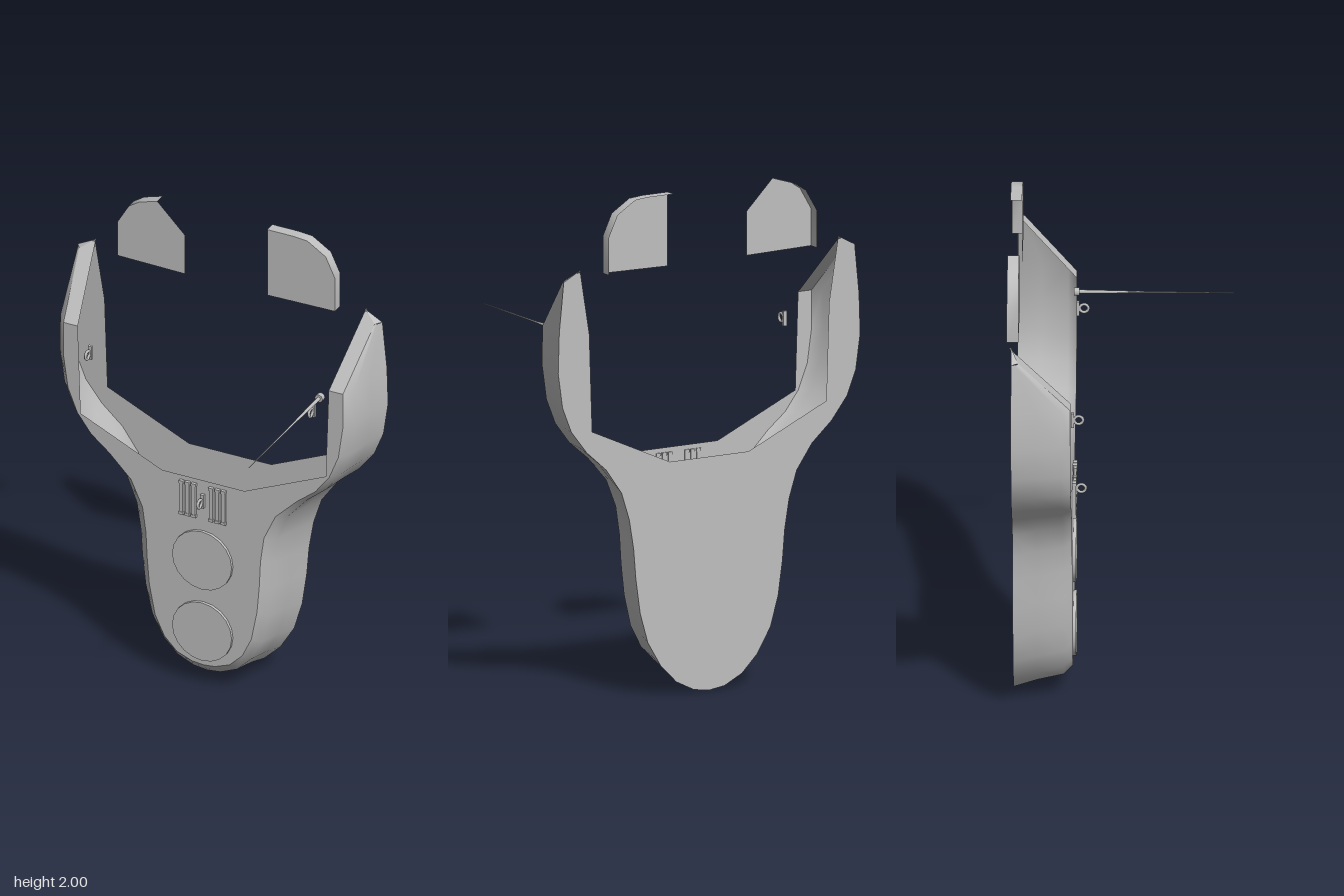
import * as THREE from 'three';

const FRONT = -0.18, BACK = -0.41, SLOPE_Y = 1.48;
const grey = new THREE.MeshStandardMaterial({ color: 0xbfbfbf, side: THREE.DoubleSide });
grey.name = 'grey';

// Half outline, bottom to arm tip: back x, back y, front x, front y
const HALF = [
  [0, 0, 0, 0.1], [0.07, 0.01, 0.05, 0.105], [0.15, 0.05, 0.115, 0.13], [0.22, 0.12, 0.17, 0.185],
  [0.28, 0.22, 0.21, 0.27], [0.315, 0.34, 0.235, 0.4], [0.335, 0.48, 0.245, 0.52],
  [0.345, 0.6, 0.25, 0.63], [0.365, 0.72, 0.265, 0.74], [0.4, 0.83, 0.315, 0.85],
  [0.47, 0.93, 0.41, 0.945], [0.56, 1.01, 0.49, 1.01], [0.63, 1.1, 0.55, 1.09],
  [0.67, 1.2, 0.59, 1.19], [0.69, 1.34, 0.61, 1.33], [0.685, 1.5, 0.61, 1.48], [0.665, 1.7, 0.645, 1.7],
];
const frontZ = (y) => (y > SLOPE_Y ? FRONT - (y - SLOPE_Y) * 0.92 : FRONT);
const mirror = (pts) => pts.slice().reverse().map(([x, y]) => [-x, y]);

function mesh(name, geometry, x = 0, y = 0, z = 0) {
  const m = new THREE.Mesh(geometry, grey);
  m.name = name;
  m.position.set(x, y, z);
  return m;
}

// Surface through equal rows of points
function loft(rows) {
  const n = rows[0].length, index = [];
  for (let r = 0; r < rows.length - 1; r++)
    for (let i = 0; i < n - 1; i++) {
      const a = r * n + i, b = a + n;
      index.push(a, b, a + 1, a + 1, b, b + 1);
    }
  const g = new THREE.BufferGeometry();
  g.setAttribute('position', new THREE.Float32BufferAttribute(rows.flat(2), 3));
  g.setIndex(index);
  g.computeVertexNormals();
  return g;
}

const plate = (pts) => new THREE.ShapeGeometry(new THREE.Shape(pts.map((p) => new THREE.Vector2(...p))));

function addShell(group) {
  // Curved outer wall with a soft shoulder near the front
  const full = [...HALF.slice(1).reverse().map(([a, b, c, d]) => [-a, b, -c, d]), ...HALF];
  const rows = [[0, 0], [0.15, 0.42], [0.6, 0.68], [1, 1]].map(([s, t]) =>
    full.map(([bx, by, fx, fy]) => [
      fx + (bx - fx) * t, fy + (by - fy) * t, frontZ(fy) + (BACK - frontZ(fy)) * s,
    ]));
  group.add(mesh('outerWall', loft(rows)));

  // Front and back plates share the open inner edge
  const inner = [[0.59, 1.74], [0.548, 1.48], [0.535, 1.09], [0.18, 0.93]];
  const back = [...HALF.map((p) => [p[0], p[1]]), ...inner];
  const front = [...HALF.slice(0, -1).map((p) => [p[2], p[3]]), ...inner.slice(1)];
  group.add(mesh('backPlate', plate([...back, ...mirror(back.slice(1))]), 0, 0, BACK));
  group.add(mesh('frontPlate', plate([...front, ...mirror(front.slice(1))]), 0, 0, FRONT));

  // Sloped arm ends and their small tip caps
  for (const s of [-1, 1]) {
    const p = (x, y, z = frontZ(y)) => [s * x, y, z];
    group.add(mesh('armSlope', loft([[p(0.548, 1.48), p(0.61, 1.48)], [p(0.59, 1.74), p(0.645, 1.7)]])));
    group.add(mesh('armTip', loft([[p(0.59, 1.74), p(0.645, 1.7)], [p(0.59, 1.74, BACK), p(0.665, 1.7, BACK)]])));
  }
}

// Small ring on a foot
function hook(x, y) {
  const g = new THREE.Group();
  g.name = 'hook';
  const ring = mesh('hookRing', new THREE.TorusGeometry(0.017, 0.006, 6, 14), x, y, -0.15);
  ring.rotation.y = Math.PI / 2;
  g.add(ring, mesh('hookFoot', new THREE.BoxGeometry(0.015, 0.06, 0.012), x, y, -0.174));
  return g;
}

// Thin face with a rim running backwards along its outer edge
function flap(name, pts, rimCount) {
  const g = new THREE.Group();
  g.name = name;
  const rim = pts.slice(0, rimCount);
  g.add(mesh('flapFace', plate(pts), 0, 0, -0.385));
  g.add(mesh('flapRim', loft([-0.385, -0.43].map((z) => rim.map(([x, y]) => [x, y, z])))));
  return g;
}

export function createModel() {
  const group = new THREE.Group();
  group.name = 'model';
  addShell(group);

  // Round covers
  for (const y of [0.255, 0.575]) {
    const disc = mesh('roundCover', new THREE.CylinderGeometry(0.13, 0.13, 0.014, 20), 0, y, -0.175);
    disc.rotation.x = Math.PI / 2;
    group.add(disc);
  }

  // Vent bars with end blocks
  for (const s of [-1, 1])
    for (const x of [0.038, 0.065, 0.092]) {
      group.add(mesh('ventBar', new THREE.BoxGeometry(0.016, 0.145, 0.014), s * x, 0.835, -0.176));
      for (const y of [0.765, 0.905])
        group.add(mesh('ventEnd', new THREE.BoxGeometry(0.02, 0.012, 0.018), s * x, y, -0.176));
    }

  group.add(hook(0, 0.84), hook(-0.49, 1.38), hook(0.485, 1.38));

  // Antenna pointing forward
  const antenna = new THREE.Group();
  antenna.name = 'antenna';
  const rod = (name, r0, r1, z0, z1) => {
    const m = mesh(name, new THREE.CylinderGeometry(r1, r0, z1 - z0, 8), 0.51, 1.44, (z0 + z1) / 2);
    m.rotation.x = Math.PI / 2;
    antenna.add(m);
  };
  rod('antennaBase', 0.017, 0.017, -0.19, -0.168);
  rod('antennaRod', 0.008, 0.005, -0.17, 0.02);
  rod('antennaTip', 0.004, 0.0015, 0.02, 0.43);
  group.add(antenna);

  // Upper flaps
  group.add(flap('rightFlap', [[-0.48, 1.71], [-0.48, 1.86], [-0.43, 1.945], [-0.385, 1.975],
    [-0.305, 2], [-0.185, 1.88], [-0.185, 1.705]], 5));
  group.add(flap('leftFlap', [[0.47, 1.71], [0.47, 1.86], [0.43, 1.945], [0.35, 1.995],
    [0.29, 2], [0.175, 2], [0.175, 1.705]], 6));
  return group;
}
